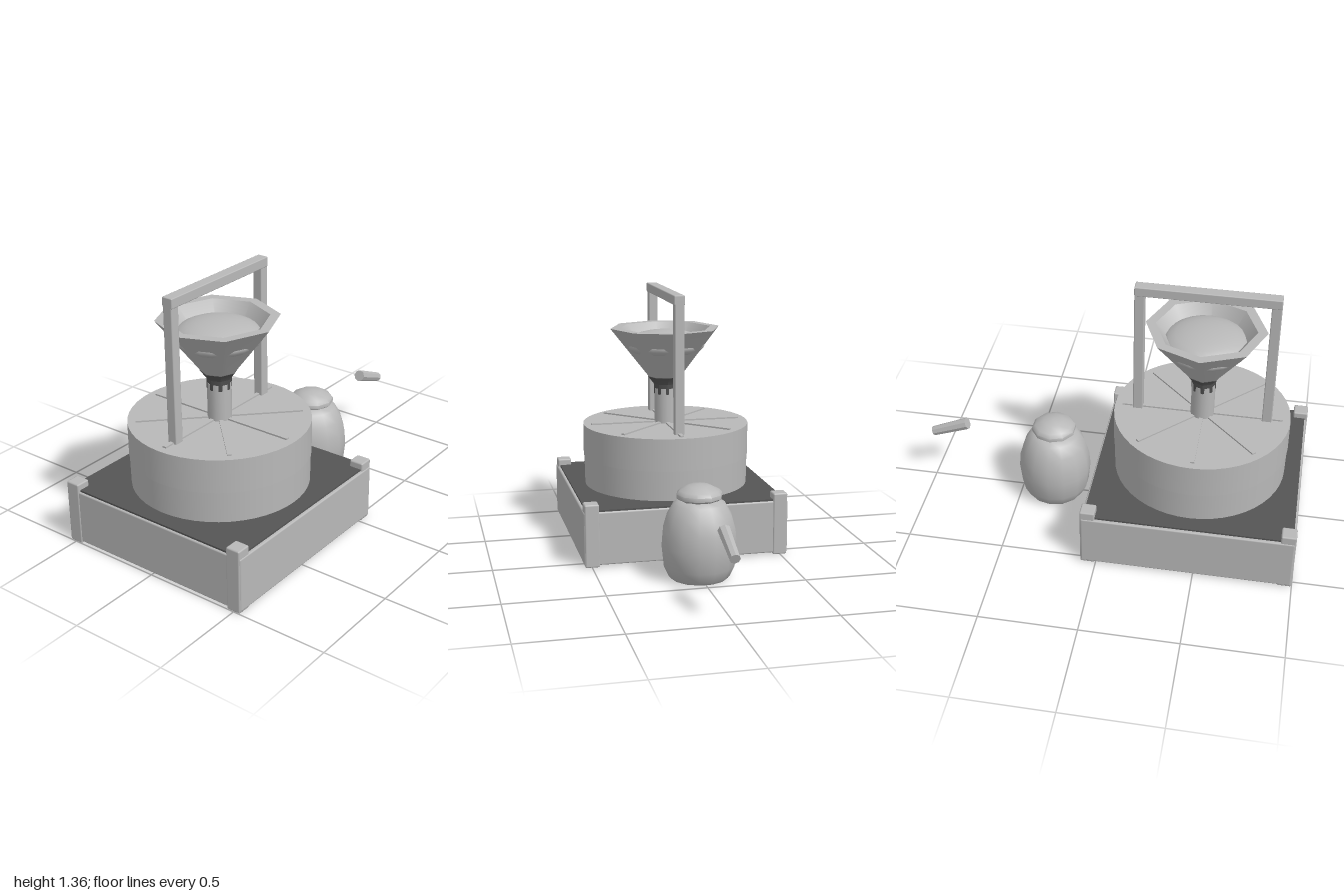
import * as THREE from 'three';
import { RoundedBoxGeometry } from 'three/addons/geometries/RoundedBoxGeometry.js';
import { toCreasedNormals } from 'three/addons/utils/BufferGeometryUtils.js';

export function createModel() {
  const model = new THREE.Group();
  const stone = new THREE.MeshStandardMaterial({ name: 'light stone', color: 0xb8b8b8 });
  const dark = new THREE.MeshStandardMaterial({ name: 'dark stone', color: 0x555555 });

  function add(parent, name, geometry, material, x = 0, y = 0, z = 0) {
    const mesh = new THREE.Mesh(geometry, material);
    mesh.name = name;
    mesh.position.set(x, y, z);
    parent.add(mesh);
    return mesh;
  }
  const box = (w, h, d) => new THREE.BoxGeometry(w, h, d);
  const bevelBox = (w, h, d, r) => new RoundedBoxGeometry(w, h, d, 1, r);
  const lathe = (points, sides, crease = 0.9) => toCreasedNormals(
    new THREE.LatheGeometry(points.map(([r, y]) => new THREE.Vector2(r, y)), sides), crease);

  // Square plinth with a dark bed and four corner posts
  const mill = new THREE.Group();
  mill.name = 'mill';
  mill.position.x = -0.46;
  model.add(mill);
  add(mill, 'plinth', bevelBox(1.07, 0.28, 1.08, 0.008), stone, 0, 0.15);
  add(mill, 'bed', box(1.05, 0.012, 1.05), dark, 0, 0.293);
  for (const sx of [-1, 1]) {
    for (const sz of [-1, 1]) {
      add(mill, 'cornerPost', bevelBox(0.076, 0.332, 0.076, 0.008), stone, sx * 0.502, 0.166, sz * 0.498);
    }
  }

  // Stacked grinding stones with raised ribs on top
  add(mill, 'lowerStone', new THREE.CylinderGeometry(0.447, 0.444, 0.165, 48), stone, 0, 0.38);
  add(mill, 'upperStone', new THREE.CylinderGeometry(0.45, 0.45, 0.172, 48), stone, 0, 0.544);
  for (let i = 0; i < 8; i++) {
    const a = i * Math.PI / 4;
    const rib = add(mill, 'rib', box(0.36, 0.012, 0.02), stone, Math.cos(a) * 0.23, 0.632, -Math.sin(a) * 0.23);
    rib.rotation.y = a;
  }

  // Funnel on a neck, with a dark collar where they meet
  add(mill, 'neck', new THREE.CylinderGeometry(0.06, 0.06, 0.2, 16), stone, 0, 0.72);
  add(mill, 'funnel', lathe([
    [0.058, 0.842], [0.3, 1.15], [0.25, 1.15], [0.05, 0.895], [0, 0.895],
  ], 8), stone);
  add(mill, 'collar', lathe([
    [0.058, 0.785], [0.062, 0.79], [0.062, 0.842], [0.095, 0.884], [0.08, 0.886],
  ], 8), dark);
  const grain = add(mill, 'grainHeap', new THREE.SphereGeometry(0.215, 24, 12), stone, 0, 1.06);
  grain.scale.y = 0.36;

  // Upright frame over the funnel
  for (const s of [-1, 1]) {
    add(mill, 'framePost', bevelBox(0.05, 0.71, 0.05, 0.005), stone, s * 0.33, 0.98);
  }
  add(mill, 'frameBeam', bevelBox(0.71, 0.05, 0.058, 0.005), stone, 0, 1.333);

  // Lidded jar
  const jar = new THREE.Group();
  jar.name = 'jar';
  jar.position.x = 0.32;
  model.add(jar);
  add(jar, 'jarBody', lathe([
    [0, 0], [0.145, 0], [0.155, 0.012], [0.18, 0.065], [0.191, 0.17], [0.184, 0.25],
    [0.164, 0.32], [0.13, 0.38], [0.1, 0.4], [0, 0.4],
  ], 14), stone);
  add(jar, 'jarLid', lathe([
    [0, 0.385], [0.085, 0.388], [0.116, 0.41], [0.116, 0.43], [0.1, 0.447],
    [0.055, 0.47], [0, 0.477],
  ], 10, 0.8), stone);

  // Loose grip, tilted down to the outside
  const grip = add(model, 'grip', toCreasedNormals(
    new THREE.CylinderGeometry(0.032, 0.026, 0.207, 8), 0.5), stone, 0.892, 0.342);
  grip.rotation.z = Math.PI / 2 - 0.385;
  // Point the wide end toward the mill
  grip.rotation.z = Math.PI / 2 - 0.385;

  return model;
}
